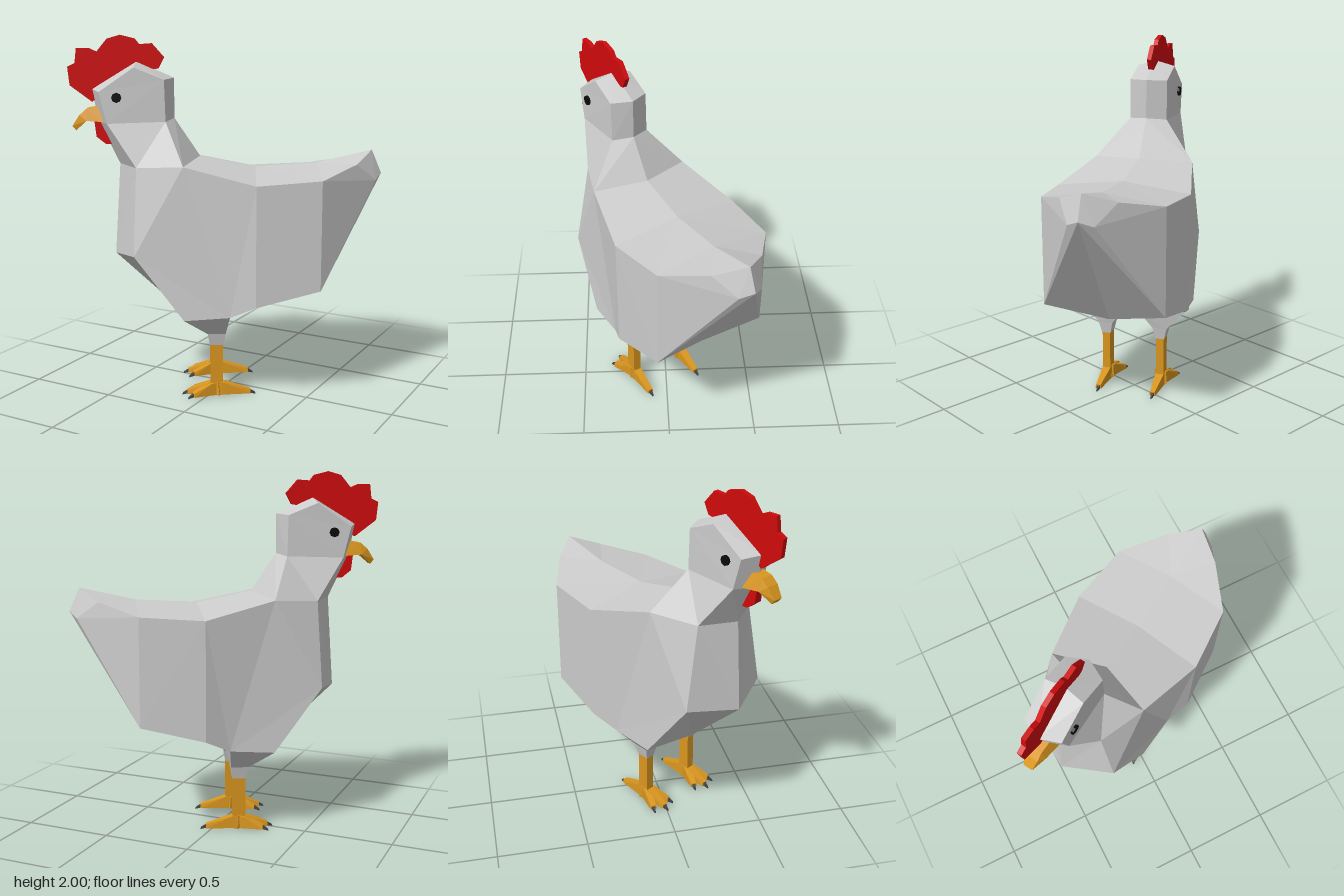
import * as THREE from 'three';
import { ConvexGeometry } from 'three/addons/geometries/ConvexGeometry.js';

const mat = (color) => new THREE.MeshStandardMaterial({ color, flatShading: true });

// Symmetric body: each ring is [top, shoulder, side, lower side, bottom] as [forward, up, half width].
// Repeated points let the loft pivot from the back up into the neck.
const T2 = [-0.15, 1.28, 0], U2 = [-0.137, 1.23, 0.38];
const T3 = [0.157, 1.34, 0], U3 = [0.247, 1.32, 0.29];
const TAIL = [-0.815, 1.21, 0.07], RUMP = [-0.487, 0.65, 0.34], FLANK = [-0.137, 0.57, 0.378];
const BELLY = [0, 0.50, 0.325], BREAST = [0.248, 0.48, 0.311], CHEST = [0.515, 0.83, 0.275];
const THROAT = [0.50, 1.30, 0.19], JAW = [0.658, 1.53, 0.112];
const BROW = [0.70, 1.70, 0.108], BROW_MID = [0.748, 1.71, 0];
const RINGS = [
  [[-0.80, 1.37, 0], [-0.695, 1.31, 0.155], TAIL, TAIL, [-0.855, 1.24, 0]],
  [[-0.49, 1.30, 0], [-0.487, 1.25, 0.34], RUMP, RUMP, [-0.40, 0.57, 0]],
  [T2, U2, FLANK, FLANK, [-0.10, 0.48, 0]],
  [T2, U2, BELLY, BELLY, [0, 0.45, 0]],
  [T3, U3, CHEST, BREAST, [0.28, 0.46, 0]],
  [T3, U3, CHEST, CHEST, [0.635, 0.79, 0]],
  [T3, U3, THROAT, THROAT, [0.60, 1.30, 0]],
  [[0.297, 1.55, 0], [0.342, 1.54, 0.11], JAW, JAW, [0.71, 1.53, 0]],
  [[0.297, 1.77, 0], [0.348, 1.765, 0.11], BROW, BROW, BROW_MID],
  [[0.50, 1.86, 0], [0.51, 1.83, 0.11], BROW, BROW, BROW_MID],
];

function bodyGeometry() {
  const pos = [];
  const tri = (a, b, c) => {
    const [A, B, C] = [a, b, c].map((p) => new THREE.Vector3(...p));
    if (B.clone().sub(A).cross(C.clone().sub(A)).length() < 1e-6) return;
    pos.push(...a, ...b, ...c);
    for (const p of [a, c, b]) pos.push(p[0], p[1], -p[2]);
  };
  const quad = (a, b, c, d) => { tri(b, c, d); tri(b, d, a); };
  for (let i = 0; i < RINGS.length - 1; i++) {
    for (let j = 0; j < 4; j++) {
      quad(RINGS[i][j], RINGS[i][j + 1], RINGS[i + 1][j + 1], RINGS[i + 1][j]);
    }
  }
  // Front of the head and end of the tail
  const [ht, hu, hl, , hb] = RINGS[RINGS.length - 1];
  quad(ht, hu, hl, hb);
  const [tt, tu, tl, , tb] = RINGS[0];
  quad(tb, tl, tu, tt);
  const g = new THREE.BufferGeometry();
  g.setAttribute('position', new THREE.Float32BufferAttribute(pos, 3));
  g.computeVertexNormals();
  return g;
}

const solid = (points) => new ConvexGeometry(points.map((p) => new THREE.Vector3(...p)));

// Convex solid from [x, y, half width] points mirrored across z
const hull = (points) => solid(points.flatMap(([x, y, w]) => [[x, y, w], [x, y, -w]]));

// Thin plate in the symmetry plane
function plate(points, depth) {
  const shape = new THREE.Shape(points.map(([x, y]) => new THREE.Vector2(x, y)));
  return new THREE.ExtrudeGeometry(shape, { depth, bevelEnabled: false }).translate(0, 0, -depth / 2);
}

export function createModel() {
  const model = new THREE.Group();
  model.name = 'chicken';
  const bird = new THREE.Group();
  bird.name = 'bird';
  model.add(bird);
  // The bird stands turned, facing front right
  bird.rotation.y = THREE.MathUtils.degToRad(210);
  bird.position.set(0.01, 0, 0.017);

  const grey = mat(0xcccccc), red = mat(0xd00a0c), yellow = mat(0xd9961f);
  const black = mat(0x0a0a0a), dark = mat(0x444444);
  const add = (name, geometry, material, parent = bird) => {
    const mesh = new THREE.Mesh(geometry, material);
    mesh.name = name;
    parent.add(mesh);
    return mesh;
  };

  add('body', bodyGeometry(), grey);

  // Comb and wattle
  add('comb', plate([
    [0.745, 1.64], [0.865, 1.73], [0.875, 1.83], [0.835, 1.85], [0.825, 1.93], [0.76, 1.93],
    [0.716, 1.91], [0.658, 1.98], [0.589, 2.0], [0.508, 1.98], [0.485, 1.95], [0.416, 1.955],
    [0.35, 1.88], [0.381, 1.82], [0.45, 1.81], [0.5, 1.82], [0.69, 1.68],
  ], 0.026), red);
  add('wattle', plate([
    [0.735, 1.54], [0.725, 1.45], [0.675, 1.41], [0.62, 1.41], [0.60, 1.46], [0.63, 1.54],
  ], 0.045), red);

  // Beak: broad base and hooked tip
  add('beakBase', hull([
    [0.69, 1.62, 0.04], [0.68, 1.535, 0.07], [0.775, 1.605, 0.035], [0.775, 1.54, 0.055],
  ]), yellow);
  add('beakTip', hull([
    [0.775, 1.605, 0.035], [0.775, 1.54, 0.055], [0.815, 1.57, 0.035],
    [0.855, 1.51, 0.025], [0.835, 1.485, 0.025],
  ]), yellow);

  const shank = new THREE.BoxGeometry(0.072, 0.27, 0.046).translate(0, 0.175, 0);
  const eye = new THREE.CylinderGeometry(0.027, 0.027, 0.03, 8).rotateX(Math.PI / 2);
  const knee = (y, a, b) => [[-a, -b], [a, -b], [a, b], [-a, b]].map(([x, z]) => [x, y, z]);

  for (const [label, side] of [['left', -1], ['right', 1]]) {
    add(label + 'Eye', eye, black).position.set(0.604, 1.67, side * 0.108);

    const leg = new THREE.Group();
    leg.name = label + 'Leg';
    leg.position.set(0.07, 0, side * 0.165);
    bird.add(leg);
    // Thigh flares from the knee out to the edge of the belly
    add('thigh', solid([
      ...knee(0.37, 0.05, 0.042),
      [0.178, 0.48, side * 0.146], [-0.07, 0.50, side * 0.16],
      [0.14, 0.46, side * -0.11], [-0.07, 0.46, side * -0.11],
    ]), grey, leg);
    add('lowerThigh', solid([...knee(0.37, 0.05, 0.042), ...knee(0.30, 0.038, 0.026)]), grey, leg);
    add('shank', shank, yellow, leg);

    // Three front toes and one hind toe, each with a claw
    for (const [angle, length] of [[0, 0.165], [0.42, 0.145], [-0.42, 0.145], [Math.PI, 0.19]]) {
      const toe = new THREE.Group();
      toe.name = 'toe';
      toe.rotation.y = angle;
      leg.add(toe);
      add('toeBone', hull([
        [-0.03, 0.005, 0.03], [-0.02, 0.078, 0.026], [0.04, 0.075, 0.024],
        [length, 0.03, 0.014], [length, 0.008, 0.018],
      ]), yellow, toe);
      add('claw', hull([
        [length - 0.005, 0.028, 0.01], [length - 0.005, 0.01, 0.012], [length + 0.03, 0, 0.004],
        [length + 0.025, 0.012, 0.004],
      ]), dark, toe);
    }
  }
  return model;
}
